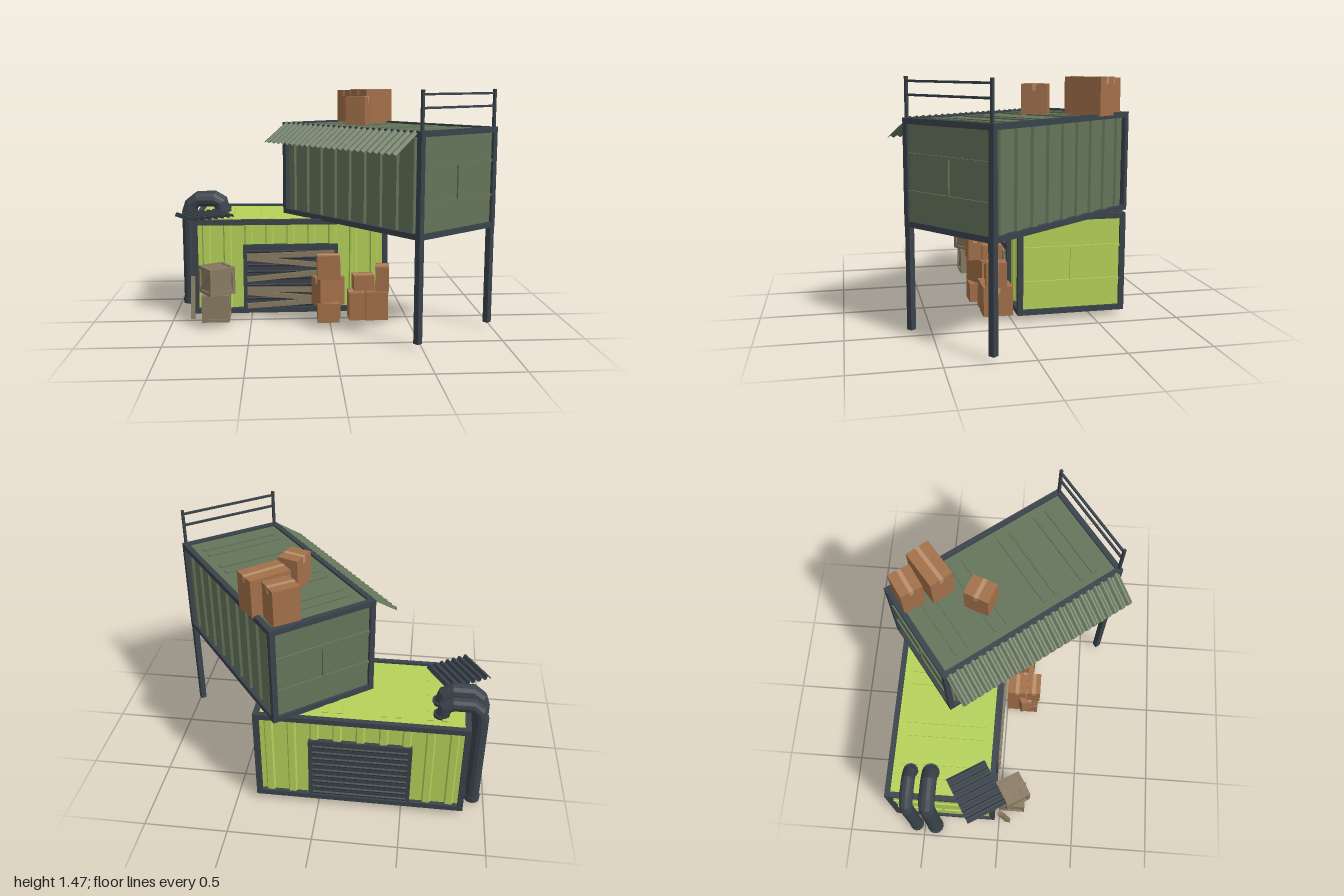
import * as THREE from 'three';

const mat = (color) => new THREE.MeshStandardMaterial({ color, flatShading: true, side: THREE.DoubleSide });
const LIME = mat(0xb5d25a), GREEN = mat(0x64745a), STEEL = mat(0x3a434b), DOOR = mat(0x3b4248);
const WOOD = mat(0x887b62), CARD = mat(0xa2704a), TAPE = mat(0xb8906c);
const L = 1.25, W = 0.67, H = 0.61;

function add(parent, name, geo, material, x = 0, y = 0, z = 0) {
  const m = new THREE.Mesh(geo, material);
  m.name = name;
  m.position.set(x, y, z);
  parent.add(m);
  return m;
}
const box = (parent, name, material, w, h, d, x, y, z) =>
  add(parent, name, new THREE.BoxGeometry(w, h, d), material, x, y, z);

function group(parent, name, x = 0, y = 0, z = 0, ry = 0) {
  const g = new THREE.Group();
  g.name = name;
  g.position.set(x, y, z);
  g.rotation.y = ry;
  parent.add(g);
  return g;
}

// Corrugated sheet in the xy plane, n ridges running along y and rising by d towards +z
function sheet(w, h, n, d, steps = [0.3, 0.36, 0.64, 0.7]) {
  const profile = [[-w / 2, 0]];
  for (let i = 0; i < n; i++)
    steps.forEach((s, k) => profile.push([-w / 2 + (w * (i + s)) / n, k === 1 || k === 2 ? d : 0]));
  profile.push([w / 2, 0]);
  const pos = [], idx = [];
  profile.forEach(([x, z], i) => {
    pos.push(x, -h / 2, z, x, h / 2, z);
    const a = 2 * i;
    if (i < profile.length - 1) idx.push(a, a + 2, a + 1, a + 1, a + 2, a + 3);
  });
  const g = new THREE.BufferGeometry();
  g.setAttribute('position', new THREE.Float32BufferAttribute(pos, 3));
  g.setIndex(idx);
  g.computeVertexNormals();
  return g;
}

// Twelve edge bars around a box standing on y = 0
function edgeFrame(parent, name, material, w, h, d, t) {
  const g = group(parent, name);
  for (const a of [-1, 1]) for (const b of [-1, 1]) {
    const x = a * (w - t) / 2, z = b * (d - t) / 2, y = h / 2 + b * (h - t) / 2;
    box(g, 'post', material, t, h, t, x, h / 2, z);
    box(g, 'longRail', material, w - t, t, t, 0, y, a * (d - t) / 2);
    box(g, 'crossRail', material, t, t, d - t, x, y, 0);
  }
}

function container(parent, name, material, x, y, z, ry) {
  const g = group(parent, name, x, y, z, ry);
  edgeFrame(g, 'frame', STEEL, L, H, W, 0.033);
  for (const s of [-1, 1]) {
    // ribbed long wall
    const wall = add(g, 'sideWall', sheet(L - 0.04, H - 0.04, 9, 0.014), material, 0, H / 2, s * (W / 2 - 0.028));
    if (s < 0) wall.rotation.y = Math.PI;
    // end wall with raised battens
    const ex = s * (L / 2 - 0.022), bx = s * (L / 2 - 0.014);
    box(g, 'endWall', material, 0.01, H - 0.04, W - 0.04, ex, H / 2, 0);
    for (const by of [0.2, 0.41]) box(g, 'endBatten', material, 0.014, 0.016, W - 0.06, bx, by, 0);
    box(g, 'endBattenUpright', material, 0.014, 0.21, 0.018, bx, 0.305, 0);
  }
  // roof with paired ribs
  box(g, 'roof', material, L - 0.04, 0.01, W - 0.04, 0, H - 0.018, 0);
  for (const c of [-0.435, -0.17, 0.17, 0.435]) for (const o of [-0.042, 0.042])
    box(g, 'roofRib', material, 0.034, 0.012, 0.5, c + o, H - 0.011, 0);
  return g;
}

function carton(parent, x, y, z, w, h, d, ry = 0) {
  const g = group(parent, 'cardboardBox', x, y, z, ry);
  box(g, 'carton', CARD, w, h, d, 0, h / 2, 0);
  box(g, 'topTape', TAPE, w + 0.002, 0.002, 0.025, 0, h, 0);
  for (const s of [-1, 1]) box(g, 'sideTape', TAPE, 0.002, 0.04, 0.025, s * w / 2, h - 0.019, 0);
}

function crate(parent, x, y, z, s, ry) {
  const g = group(parent, 'woodenCrate', x, y, z, ry);
  box(g, 'crateBoards', WOOD, s - 0.02, s - 0.02, s - 0.02, 0, s / 2, 0);
  edgeFrame(g, 'crateFrame', WOOD, s, s, s, 0.02);
  for (let i = 0; i < 4; i++) {
    const side = group(g, 'crateSide', 0, s / 2, 0, i * Math.PI / 2);
    box(side, 'brace', WOOD, s * 1.15, 0.02, 0.008, 0, 0, s / 2 - 0.007).rotation.z = Math.PI / 4;
  }
  for (const o of [-0.3, 0, 0.3]) box(g, 'lidSlat', WOOD, s * 0.8, 0.006, s * 0.2, 0, s - 0.008, o * s);
}

// Duct with angular elbows, rising from the ground and bending into the roof
function duct(parent, z, r, y0) {
  const g = group(parent, 'duct', 0, 0, z);
  const pts = [[-0.93, y0], [-0.93, 0.64], [-0.915, 0.685], [-0.875, 0.72], [-0.765, 0.72], [-0.72, 0.695], [-0.70, 0.62]];
  const curve = new THREE.CatmullRomCurve3(pts.map(([x, y]) => new THREE.Vector3(x, y, 0)), false, 'catmullrom', 0);
  curve.getUtoTmapping = (u) => u;
  add(g, 'ductPipe', new THREE.TubeGeometry(curve, pts.length - 1, r, 12), STEEL);
  add(g, 'ductFoot', new THREE.CylinderGeometry(r + 0.005, r + 0.005, 0.035, 12), STEEL, -0.93, y0 + 0.0175, 0);
  add(g, 'ductFlange', new THREE.CylinderGeometry(r + 0.005, r + 0.005, 0.02, 12), STEEL, -0.70, 0.642, 0);
}

export function createModel() {
  const model = new THREE.Group();
  model.name = 'containerOutpost';

  // Lower container, open underneath, with a shutter in each long side
  const lower = container(model, 'lowerContainer', LIME, -0.245, 0.035, -0.365, 0);
  for (const s of [-1, 1]) {
    const door = group(lower, 'shutterDoor', 0, 0, s * (W / 2 - 0.022));
    box(door, 'doorPanel', DOOR, 0.59, 0.42, 0.026, 0, 0.23, 0);
    for (let i = 0; i < 9; i++)
      box(door, 'doorSlat', DOOR, 0.56, 0.012, 0.012, 0, 0.05 + i * 0.044, s * 0.014).rotation.x = s * 0.5;
    for (const e of [-1, 1]) box(door, 'doorJamb', STEEL, 0.018, 0.42, 0.04, e * 0.295, 0.23, 0);
    box(door, 'doorLintel', STEEL, 0.6, 0.018, 0.04, 0, 0.44, 0);
  }
  // planks nailed over the front shutter: height, tilt
  for (const [y, tilt] of [[0.385, 0.03], [0.335, -0.11], [0.25, 0.09], [0.155, -0.02], [0.11, -0.1], [0.065, 0.06]])
    box(lower, 'doorPlank', WOOD, 0.56, 0.032, 0.014, 0, y, W / 2 + 0.005 + y * 0.02).rotation.z = tilt;

  // Upper container, turned and carried on two legs
  const upper = container(model, 'upperContainer', GREEN, 0.355, 0.637, -0.055, -0.918);
  add(upper, 'floor', sheet(L - 0.04, W - 0.04, 9, 0.012), GREEN, 0, 0.02, 0).rotation.x = Math.PI / 2;
  for (const s of [-1, 1]) {
    const z = s * (W / 2 - 0.02);
    box(upper, 'leg', STEEL, 0.036, 0.61, 0.036, L / 2 - 0.02, -0.3, z);
    box(upper, 'railingPost', STEEL, 0.016, 0.23, 0.016, L / 2 - 0.015, H + 0.11, z);
  }
  for (const y of [0.125, 0.2]) box(upper, 'railingBar', STEEL, 0.013, 0.013, W - 0.04, L / 2 - 0.015, H + y, 0);
  const awning = add(upper, 'awning', sheet(1.2, 0.212, 24, 0.014, [0.1, 0.4, 0.6, 0.9]), GREEN, -0.005, H - 0.066, W / 2 + 0.077);
  awning.rotation.x = -Math.atan2(0.175, 0.12);

  // Loose corrugated sheet lying on the lower roof corner
  const loose = group(model, 'looseRoofSheet', -0.8, 0.652, -0.14, 0.55);
  add(loose, 'corrugatedSheet', sheet(0.305, 0.265, 7, 0.02, [0.15, 0.35, 0.65, 0.85]), STEEL).rotation.x = -Math.PI / 2;

  duct(model, -0.43, 0.05, 0);
  duct(model, -0.555, 0.042, 0.015);

  // Crates and a leaning plank
  crate(model, -0.715, 0.035, 0.08, 0.17, 0);
  crate(model, -0.71, 0.205, 0.08, 0.17, 0.54);
  box(model, 'leaningPlank', WOOD, 0.026, 0.27, 0.03, -0.865, 0.163, 0.035).rotation.x = -0.2;

  // Cardboard boxes on the ground: x, y, z, width, height, depth, turn
  for (const b of [
    [-0.015, 0.035, 0.15, 0.135, 0.12, 0.12], [-0.015, 0.13, 0.12, 0.17, 0.18, 0.12, 0.45],
    [-0.015, 0.31, 0.175, 0.14, 0.15, 0.085], [-0.003, 0.035, 0.065, 0.135, 0.365, 0.125],
    [0.165, 0.035, 0.11, 0.1, 0.175, 0.12, 0.05], [0.29, 0.035, 0.085, 0.14, 0.18, 0.18],
    [0.21, 0.215, 0.08, 0.13, 0.095, 0.1, 0.08], [0.33, 0.215, 0.095, 0.085, 0.155, 0.125, -0.12],
  ]) carton(model, ...b);

  // Cardboard boxes on the upper roof
  for (const b of [
    [0.2, 1.235, -0.6, 0.16, 0.22, 0.14, 0.6], [0.315, 1.235, -0.475, 0.25, 0.227, 0.15, 0.7],
    [0.2, 1.235, -0.175, 0.13, 0.185, 0.155, -0.37],
  ]) carton(model, ...b);

  return model;
}
